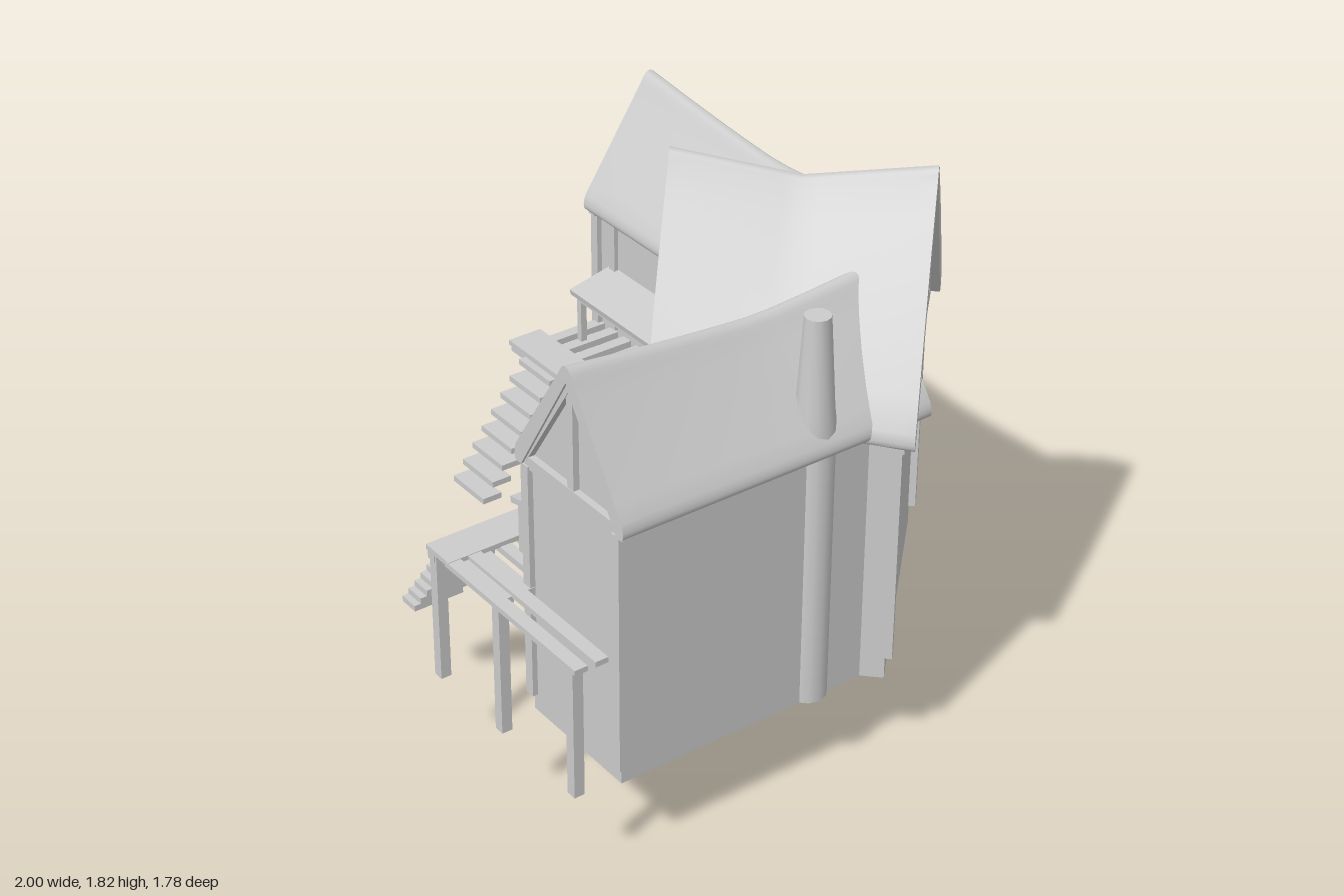
import * as THREE from 'three';
import { toCreasedNormals } from 'three/addons/utils/BufferGeometryUtils.js';

const mat = new THREE.MeshStandardMaterial({ color: 0xcccccc });
const shellMat = new THREE.MeshStandardMaterial({ color: 0xcccccc, side: THREE.DoubleSide });
const BASE = 0.31, EAVE = 1.17;

function add(parent, name, geo) {
  const m = new THREE.Mesh(geo, mat);
  m.name = name;
  parent.add(m);
  return m;
}

// Box given by its min and max on each axis
function block(parent, name, [x0, x1], [y0, y1], [z0, z1]) {
  const m = add(parent, name, new THREE.BoxGeometry(Math.abs(x1 - x0), y1 - y0, z1 - z0));
  m.position.set((x0 + x1) / 2, (y0 + y1) / 2, (z0 + z1) / 2);
  return m;
}

// Turn a box into a thin shell without the given faces (order +x -x +y -y +z -z)
function openFaces(mesh, faces) {
  const index = [...mesh.geometry.index.array];
  mesh.geometry.clearGroups();
  mesh.geometry.setIndex(index.filter((_, i) => !faces.includes(Math.floor(i / 6))));
  mesh.material = shellMat;
}

function post(parent, name, x, z, y0, y1, w = 0.035) {
  return block(parent, name, [x - w / 2, x + w / 2], [y0, y1], [z - w / 2, z + w / 2]);
}

// Timber lying in a gable plane from a to b
function rafter(parent, a, b, z) {
  const m = add(parent, 'rafter', new THREE.BoxGeometry(Math.hypot(b[0] - a[0], b[1] - a[1]), 0.03, 0.035));
  m.position.set((a[0] + b[0]) / 2, (a[1] + b[1]) / 2, z);
  m.rotation.z = Math.atan2(b[1] - a[1], b[0] - a[0]);
}

// Thick sagging roof: rounded cross-section swept along z, then bent by a rule
function roof(parent, { w, e, h, z0, z1, bulge, sag, taper = () => 1, lift = () => 0 }) {
  const s = new THREE.Shape();
  const lx = w - 0.01, ly = e + 0.055, rx = 0.035, ry = h - 0.04;
  const mx = (lx + rx) / 2, my = (ly + ry) / 2 + bulge;
  s.moveTo(w - 0.035, e);
  s.quadraticCurveTo(w + 0.015, e - 0.01, lx, ly);
  s.quadraticCurveTo(mx, my, rx, ry);
  s.quadraticCurveTo(0, h + 0.035, -rx, ry);
  s.quadraticCurveTo(-mx, my, -lx, ly);
  s.quadraticCurveTo(-w - 0.015, e - 0.01, -w + 0.035, e);
  s.lineTo(0, h - 0.055);
  s.closePath();
  const geo = new THREE.ExtrudeGeometry(s, { depth: z1 - z0, steps: 14, curveSegments: 7, bevelEnabled: false });
  const p = geo.attributes.position;
  for (let i = 0; i < p.count; i++) {
    const u = p.getZ(i) / (z1 - z0), f = (p.getY(i) - e) / (h - e);
    p.setX(i, p.getX(i) * taper(u));
    p.setY(i, p.getY(i) + f * sag(u) + (1 - f) * lift(u));
  }
  geo.translate(0, 0, z0);
  add(parent, 'roof', toCreasedNormals(geo, 0.7));
}

// Thin triangular wall under a roof end
function gableWall(parent, w, y, top, z) {
  const s = new THREE.Shape([new THREE.Vector2(-w, y), new THREE.Vector2(w, y), new THREE.Vector2(0, top)]);
  add(parent, 'gableWall', new THREE.ExtrudeGeometry(s, { depth: 0.02, bevelEnabled: false })).position.z = z - 0.01;
}

// Side wing with its gable end towards local +z; s is the side that carries the deck
function wing(s, deckStart, awning, stairZ, cut) {
  const g = new THREE.Group();
  const wall = 0.22, end = 0.73;

  // Walls, open below and cut off diagonally where they meet the hall
  const walls = block(g, 'wingWalls', [-wall, wall], [BASE, EAVE + 0.02], [-0.2, end]);
  const p = walls.geometry.attributes.position;
  for (let i = 0; i < p.count; i++) {
    if (p.getZ(i) < 0) p.setZ(i, cut + s * p.getX(i) - walls.position.z);
  }
  openFaces(walls, [3, 5]);
  gableWall(g, 0.235, EAVE, 1.55, end - 0.02);
  roof(g, {
    w: 0.265, e: EAVE, h: 1.6, z0: -0.34, z1: 0.75, bulge: 0,
    sag: u => -0.06 * (1 - Math.abs((u - 0.4) / 0.6) ** 1.3),
  });

  // Gable timbers
  block(g, 'tieBeam', [-0.25, 0.25], [EAVE - 0.01, EAVE + 0.03], [end - 0.02, end + 0.012]);
  block(g, 'kingPost', [-0.015, 0.015], [EAVE, 1.54], [end - 0.02, end + 0.01]);
  for (const k of [-1, 1]) {
    rafter(g, [k * 0.232, EAVE + 0.015], [0, 1.54], end - 0.005);
    post(g, 'cornerPost', k * wall, end, 0.37, EAVE);
  }

  // Deck: long outer plank, joists back to the wall
  const deckEnd = deckStart + 0.77;
  block(g, 'deckPlank', [s * 0.43, s * 0.553], [0.755, 0.772], [deckStart, deckEnd]);
  block(g, 'deckBeam', [s * 0.51, s * 0.545], [0.73, 0.756], [deckStart, deckEnd]);
  for (let i = 0; i < 10; i++) {
    const z = deckStart + 0.06 + i * 0.073;
    block(g, 'joist', [s * 0.2, s * 0.45], [0.735, 0.757], [z - 0.02, z + 0.02]);
  }

  // Lean-to canopy with its frame, and the window posts above it
  const [a0, a1] = awning;
  const canopy = block(g, 'canopy', [s * 0.21, s * 0.385], [0.955, 0.975], [a0, a1]);
  canopy.rotation.z = -s * 0.22;
  block(g, 'canopyRail', [s * 0.345, s * 0.365], [0.915, 0.94], [a0 + 0.015, a1 - 0.015]);
  for (const z of [a0 + 0.025, a1 - 0.025]) {
    post(g, 'canopyPost', s * 0.355, z, 0.77, 0.93, 0.022);
    post(g, 'windowPost', s * wall, z, 0.77, EAVE, 0.03);
  }

  // Stairs down from the deck
  for (let i = 0; i < 8; i++) {
    const x = 0.535 + i * 0.038, y = 0.735 - i * 0.05;
    block(g, 'deckStep', [s * (x - 0.035), s * (x + 0.035)], [y - 0.01, y + 0.01], [stairZ - 0.088, stairZ + 0.088]);
  }
  return g;
}

export function createModel() {
  const model = new THREE.Group();

  // Main hall, turned 45 degrees between the wings: no floor, open porch in front
  const hall = new THREE.Group();
  hall.name = 'mainHall';
  hall.position.set(0.375, 0, -0.27);
  hall.rotation.y = -Math.PI / 4;
  model.add(hall);
  openFaces(block(hall, 'hallWalls', [-0.43, 0.43], [BASE, EAVE], [-0.33, 0.34]), [2, 3, 4]);
  roof(hall, {
    w: 0.495, e: 1.15, h: 1.82, z0: -0.39, z1: 0.39, bulge: 0.05,
    sag: u => -0.06 * (1 - Math.abs(2 * u - 1)),
    taper: u => 1 - 0.11 * u,
    lift: u => 0.04 * u,
  });
  gableWall(hall, 0.455, 1.15, 1.76, -0.325);
  gableWall(hall, 0.39, 1.18, 1.74, 0.3);
  block(hall, 'backTieBeam', [-0.47, 0.47], [1.13, 1.18], [-0.36, -0.31]);
  block(hall, 'backKingPost', [-0.025, 0.025], [1.16, 1.75], [-0.355, -0.325]);
  block(hall, 'frontTieBeam', [-0.43, 0.43], [1.14, 1.18], [0.335, 0.375]);
  block(hall, 'collarBeam', [-0.16, 0.16], [1.54, 1.57], [0.34, 0.37]);
  for (const k of [-1, 1]) {
    rafter(hall, [k * 0.45, 1.17], [0, 1.75], -0.345);
    rafter(hall, [k * 0.4, 1.2], [0, 1.75], 0.355);
    post(hall, 'backCornerPost', k * 0.42, -0.33, 0.39, 1.15, 0.045);
    post(hall, 'frontCornerPost', k * 0.42, 0.34, 0.35, 1.15, 0.04);
    post(hall, 'porchPost', k * 0.16, 0.357, 0, 1.55, 0.03);
  }

  // Right-hand and left-hand wings
  const wingA = wing(-1, 0.11, [0.31, 0.69], 0.715, 0.04);
  wingA.name = 'frontWing';
  wingA.position.set(0.64, 0, 0);
  const wingB = wing(1, 0, [0.21, 0.66], 0.6, -0.045);
  wingB.name = 'sideWing';
  wingB.position.set(0.01, 0, -0.53);
  wingB.rotation.y = -Math.PI / 2;
  model.add(wingA, wingB);

  // Balcony across the front gable and its stilts
  for (const z of [0.79, 0.86]) block(wingA, 'balconyPlank', [-0.45, 0.215], [0.752, 0.77], [z - 0.022, z + 0.022]);
  for (const [x, z] of [[-0.52, 0.86], [-0.19, 0.86], [0.18, 0.86], [-0.52, 0.53]]) {
    post(wingA, 'deckStilt', x, z, BASE, 0.756);
  }

  // Stairs to the side wing's gable end
  for (let i = 0; i < 6; i++) {
    const y = 0.725 - i * 0.051, z = 0.77 + i * 0.04;
    block(wingB, 'gableStep', [-0.1, 0.11], [y - 0.01, y + 0.01], [z - 0.04, z + 0.04]);
  }

  // Chimney: shaft against the wall and tapered stack above the roof
  const profile = [[0, 0.31], [0.064, 0.31], [0.064, 1.25], [0.058, 1.3], [0.04, 1.6], [0, 1.6]];
  const chimney = new THREE.LatheGeometry(profile.map(([r, y]) => new THREE.Vector2(r, y)), 12);
  add(model, 'chimney', toCreasedNormals(chimney, 0.7)).position.set(0.825, 0, 0.03);

  return model;
}
